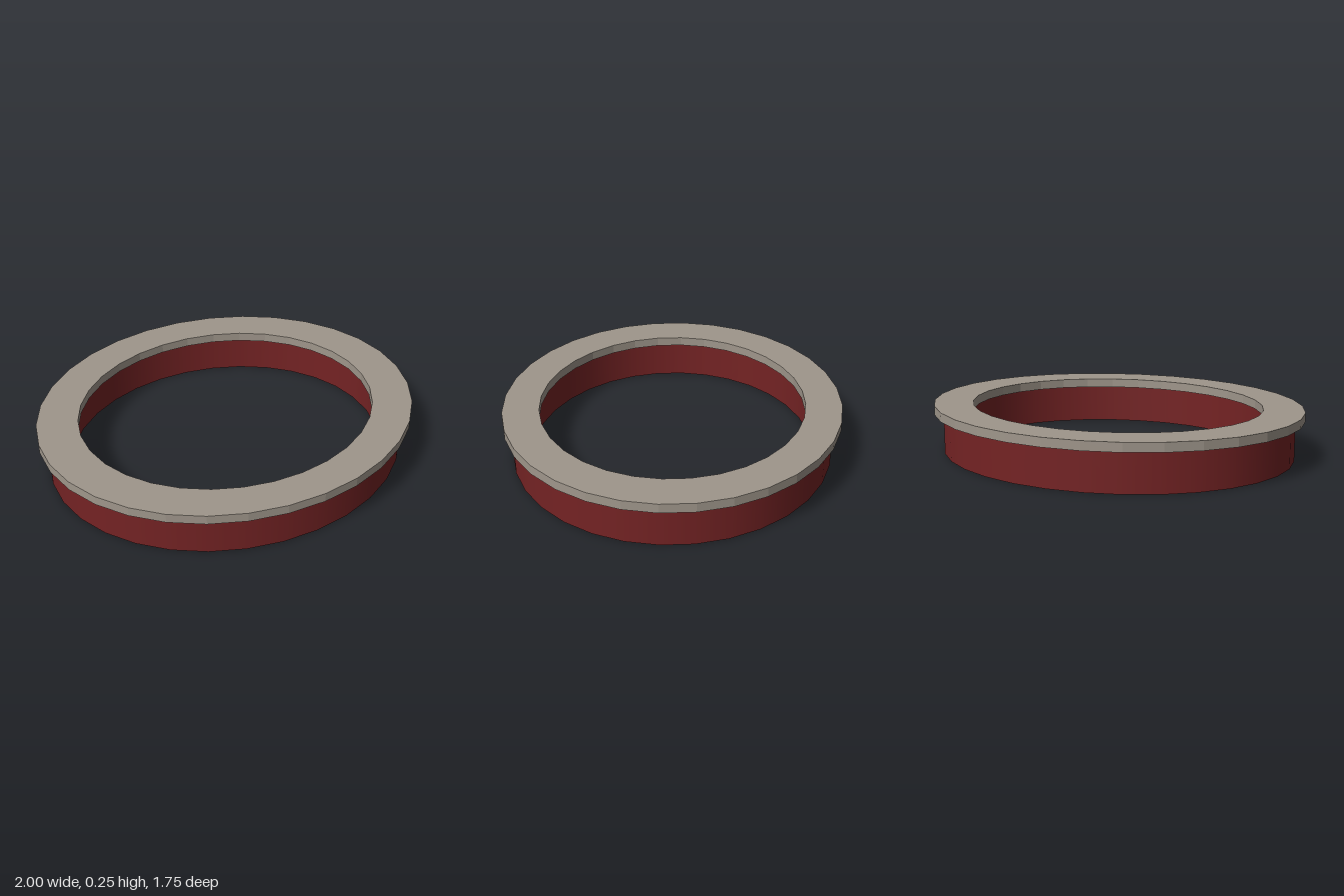
import * as THREE from 'three';

const SIDES = 32;
const DEPTH = 0.877; // z radius relative to x radius
const WALL_TOP = 0.206;
const TOP = 0.253;

export function createModel() {
  const stone = new THREE.MeshStandardMaterial({ color: 0x9f968b, flatShading: true });
  stone.name = 'taupe';
  const red = new THREE.MeshStandardMaterial({ color: 0x742324, side: THREE.DoubleSide });
  red.name = 'darkRed';

  const model = new THREE.Group();
  model.name = 'ovalRing';

  // Turns a (radius, height) profile into an oval ring
  const addOval = (name, profile, material) => {
    const points = profile.map(([r, y]) => new THREE.Vector2(r, y));
    const geometry = new THREE.LatheGeometry(points, SIDES);
    geometry.scale(1, 1, DEPTH);
    const mesh = new THREE.Mesh(geometry, material);
    mesh.name = name;
    model.add(mesh);
  };

  // Flat rim on top, closed on all sides
  const inner = 0.785, outer = 1;
  addOval('rim', [
    [inner, WALL_TOP], [outer, WALL_TOP], [outer, TOP], [inner, TOP], [inner, WALL_TOP],
  ], stone);

  // Two thin walls under the rim, with an open channel between them
  addOval('outerWall', [[0.95, 0], [0.95, WALL_TOP]], red);
  addOval('innerWall', [[0.835, 0], [0.835, WALL_TOP]], red);

  return model;
}
